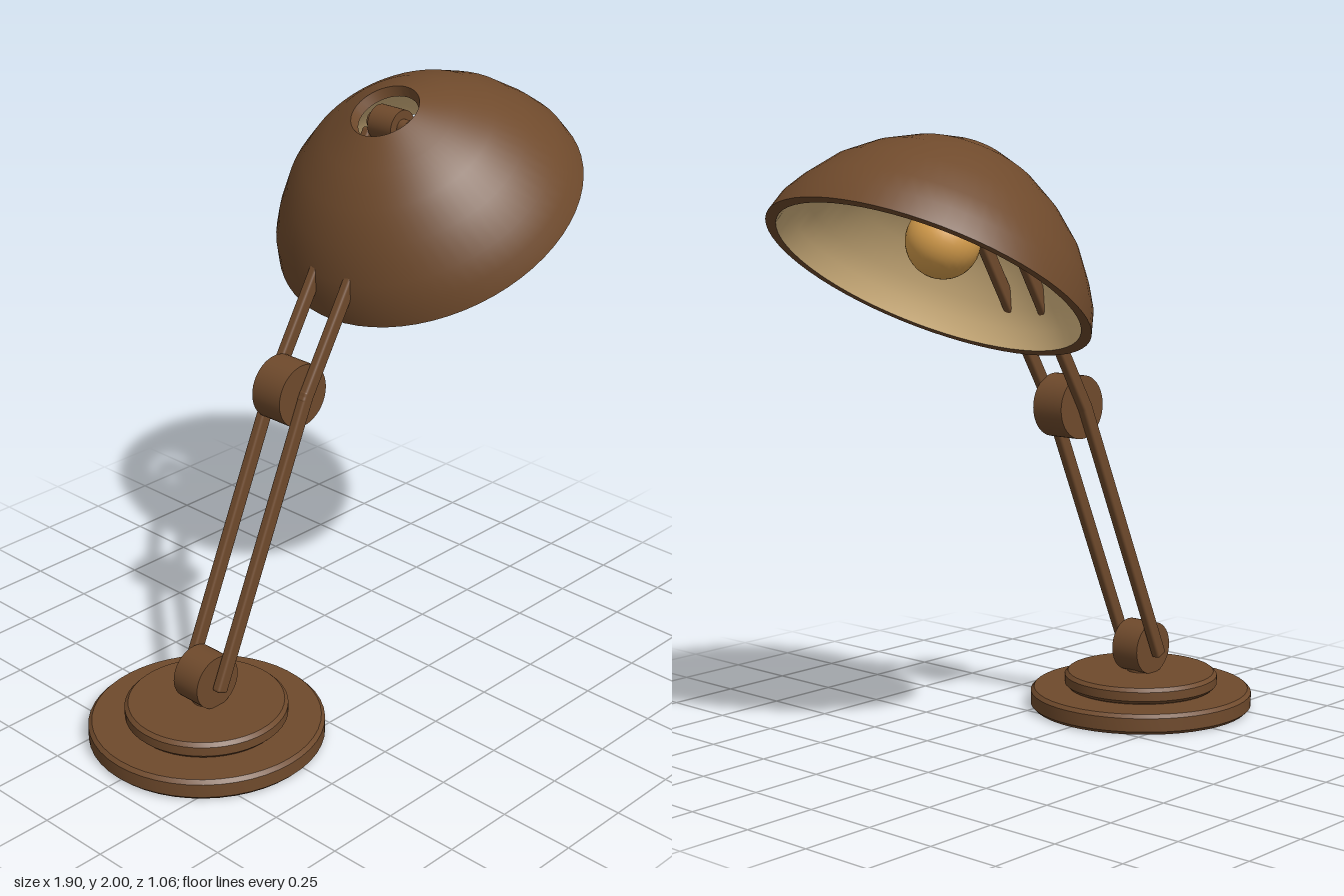
import * as THREE from 'three';
import { toCreasedNormals } from 'three/addons/utils/BufferGeometryUtils.js';
import { RoundedBoxGeometry } from 'three/addons/geometries/RoundedBoxGeometry.js';

const material = (name, color) => {
  const m = new THREE.MeshStandardMaterial({ color });
  m.name = name;
  return m;
};

export function createModel() {
  const brown = material('brown', 0x6f4a2c);
  const cream = material('cream', 0xdcbb84);
  const amber = material('amber', 0xdca24e);

  const lamp = new THREE.Group();
  lamp.name = 'deskLamp';

  const add = (name, geometry, mat, x = 0, y = 0, z = 0, parent = lamp) => {
    const mesh = new THREE.Mesh(geometry, mat);
    mesh.name = name;
    mesh.position.set(x, y, z);
    parent.add(mesh);
    return mesh;
  };
  const lathe = (points, crease = 0.6, segments = 48) =>
    toCreasedNormals(new THREE.LatheGeometry(points.map(([r, y]) => new THREE.Vector2(r, y)), segments), crease);

  // Disc with bevelled edges, standing on y = 0
  const disc = (r, h, b) => lathe([[0, 0], [r - b, 0], [r, b], [r, h - b], [r - b, h], [0, h]]);
  // Hinge drum lying along z
  const drum = (r, width) => new THREE.CylinderGeometry(r, r, width, 40).rotateX(Math.PI / 2);

  // Joints of the arm in the x-y plane
  const foot = new THREE.Vector2(-0.57, 0.215);
  const elbow = new THREE.Vector2(-0.175, 1.105);
  const head = new THREE.Vector2(0.295, 1.885);

  // Stepped base and neck
  add('basePlate', disc(0.388, 0.07, 0.012), brown, foot.x);
  add('baseStep', disc(0.268, 0.055, 0.012), brown, foot.x, 0.073);
  add('baseCore', new THREE.CylinderGeometry(0.25, 0.25, 0.02, 48), brown, foot.x, 0.07);
  add('neck', new THREE.CylinderGeometry(0.047, 0.047, 0.08, 32), brown, foot.x, 0.16);

  // Hinge drums
  add('footJoint', drum(0.091, 0.11), brown, foot.x, foot.y);
  add('elbowJoint', drum(0.106, 0.122), brown, elbow.x, elbow.y);
  add('headJoint', drum(0.057, 0.1), brown, head.x, head.y);
  add('headAxle', drum(0.028, 0.16), brown, head.x, head.y);

  // Paired arm bars, extended or shortened past the joints by the given lengths
  const bars = (name, a, b, startExtra, endExtra) => {
    const dir = b.clone().sub(a).normalize();
    const from = a.clone().addScaledVector(dir, -startExtra);
    const to = b.clone().addScaledVector(dir, endExtra);
    for (const side of [1, -1]) {
      const geometry = new RoundedBoxGeometry(from.distanceTo(to), 0.045, 0.033, 2, 0.009);
      const bar = add(name, geometry, brown, (from.x + to.x) / 2, (from.y + to.y) / 2, side * 0.074);
      bar.rotation.z = dir.angle();
    }
  };
  bars('lowerBar', foot, elbow, 0.025, 0.02);
  bars('upperBar', elbow, head, 0.02, -0.03);

  // Tilted shade: outer shell with rim, cream lining, open top
  const shade = new THREE.Group();
  shade.name = 'shade';
  shade.position.set(0.485, 1.557, 0);
  shade.rotation.z = Math.PI / 6;
  lamp.add(shade);
  const shell = [[0.497, 0], [0.531, 0], [0.513, 0.07], [0.478, 0.135], [0.412, 0.232],
    [0.325, 0.316], [0.222, 0.387], [0.116, 0.437], [0.102, 0.405]];
  const lining = [[0.102, 0.405], [0.207, 0.355], [0.303, 0.289], [0.384, 0.211],
    [0.446, 0.121], [0.479, 0.062], [0.497, 0]];
  add('shadeShell', lathe(shell, 0.7, 64), brown, 0, 0, 0, shade);
  add('shadeLining', lathe(lining, 0.7, 64), cream, 0, 0, 0, shade);

  // Bulb on the shade axis
  add('bulb', new THREE.SphereGeometry(0.118, 32, 20), amber, 0, 0.135, 0, shade);

  return lamp;
}
